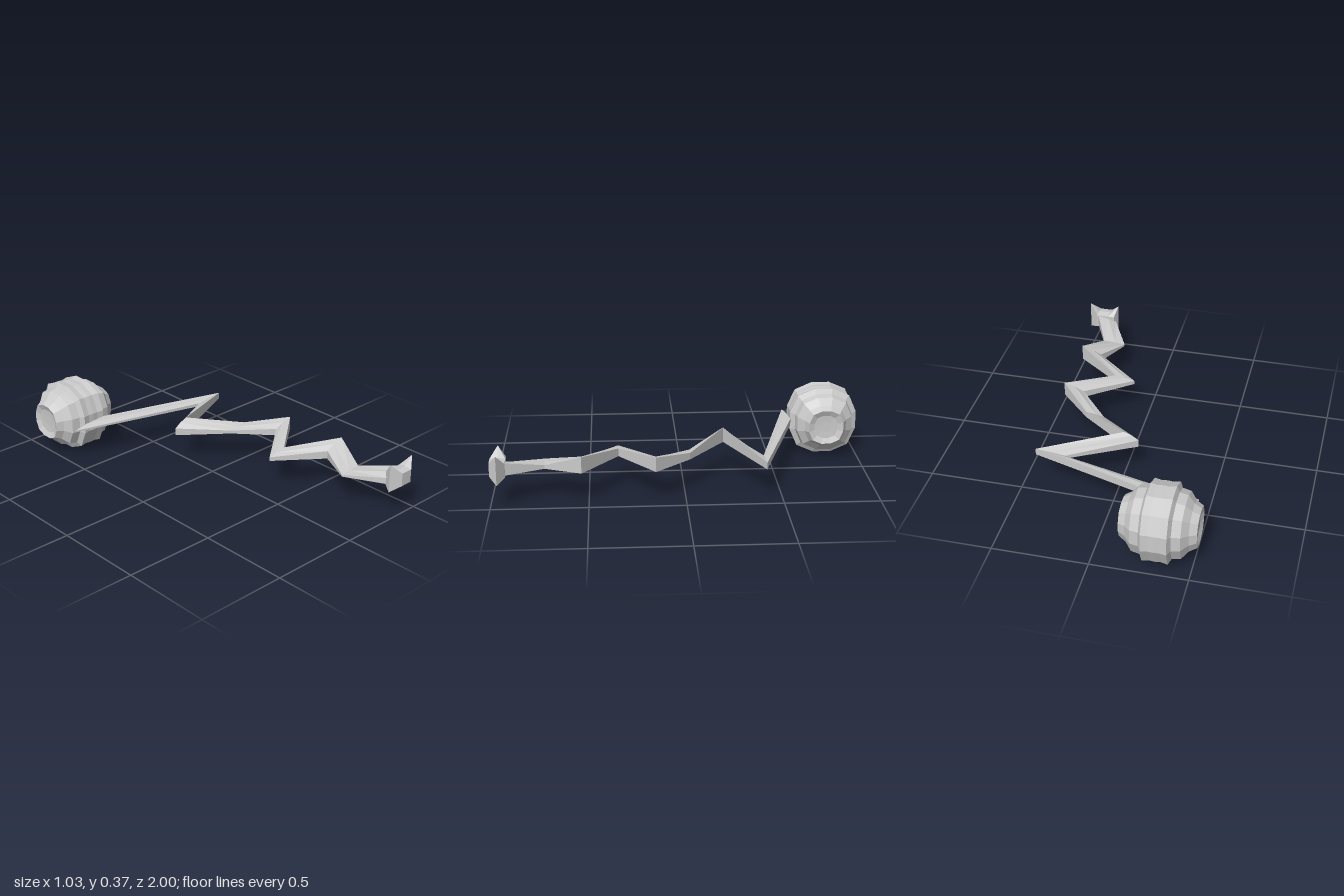
import * as THREE from 'three';

const material = new THREE.MeshStandardMaterial({ color: 0xcccccc, flatShading: true, side: THREE.DoubleSide });

// Skin a closed solid over rings of [x, y, z] points (counter-clockwise seen from +z, ordered back to front)
function loft(name, rings) {
  const pos = [];
  const tri = (a, b, c) => pos.push(...a, ...b, ...c);
  const centre = ring => [0, 1, 2].map(k => ring.reduce((s, p) => s + p[k], 0) / ring.length);
  const n = rings[0].length;
  const first = rings[0], last = rings[rings.length - 1];
  const cBack = centre(first), cFront = centre(last);
  for (let i = 0; i < n; i++) {
    const j = (i + 1) % n;
    for (let r = 0; r < rings.length - 1; r++) {
      const a = rings[r], b = rings[r + 1];
      tri(a[i], a[j], b[j]);
      tri(a[i], b[j], b[i]);
    }
    tri(cBack, first[j], first[i]);
    tri(cFront, last[i], last[j]);
  }
  const g = new THREE.BufferGeometry();
  g.setAttribute('position', new THREE.Float32BufferAttribute(pos, 3));
  g.computeVertexNormals();
  const mesh = new THREE.Mesh(g, material);
  mesh.name = name;
  return mesh;
}

// Ridged ball: twelve-sided rings with slightly squared corners, stacked along x
function makeBall() {
  const half = [[0.18, 0.03], [0.182, 0.065], [0.195, 0.095], [0.158, 0.115], [0.125, 0.152],
    [0.08, 0.16], [0.065, 0.187], [0.03, 0.181]];
  const profile = [...half.map(([d, r]) => [-d, r]), [0, 0.183], ...half.slice().reverse()];
  const rings = profile.map(([d, r]) => Array.from({ length: 12 }, (_, k) => {
    const a = (15 + 30 * k) * Math.PI / 180;
    const s = (k % 3 === 1 ? 1.06 : 1) * r / 0.966;
    return [Math.cos(a) * s, Math.sin(a) * s, d];
  }));
  const ball = loft('ball', rings);
  ball.rotation.y = Math.PI / 2;
  ball.position.set(-0.322, 0.19, -0.815);
  return ball;
}

// Zigzag rod: flat base, upright wall on +x and a sloping top
function makeRod() {
  const base = 0.167;
  const nodes = [ // z, left x, right x, top y
    [-0.415, 0.28, 0.44, 0.203], [-0.225, -0.07, 0.01, 0.25], [-0.03, 0.17, 0.27, 0.203],
    [0.155, 0.335, 0.445, 0.245], [0.345, 0.09, 0.2, 0.21], [0.535, 0.335, 0.445, 0.255],
    [0.725, 0.24, 0.365, 0.187], [0.93, 0.345, 0.455, 0.235]];
  const sections = nodes.map(([z, l, r, t]) => {
    const h = t - base;
    return [[l, base, z], [r, base, z], [r, t, z],
      [l + (r - l) * 0.45, base + h * 0.8, z], [l, base + h * 0.5, z]];
  });
  // Pointed end lying against the ball
  const tip = [[-0.47, 0.18, -0.61], [-0.25, base, -0.63], [-0.25, 0.203, -0.63],
    [-0.38, 0.202, -0.618], [-0.47, 0.189, -0.61]];
  return loft('zigzagRod', [tip, ...sections]);
}

// Flared head: four spiked corners around a small front and back face
function makeHead() {
  const ring = (z, x0, x1, y0, y1, n0, n1) => [
    [x0, y0, z], [0.39, n0, z], [0.455, n0, z], [x1, y0, z],
    [x1, y1, z], [0.455, n1, z], [0.39, n1, z], [x0, y1, z]];
  return loft('flaredHead', [
    ring(0.92, 0.355, 0.46, 0.158, 0.235, 0.16, 0.235),
    ring(0.96, 0.336, 0.508, 0.133, 0.29, 0.162, 0.243),
    ring(1.0, 0.388, 0.457, 0.165, 0.238, 0.165, 0.238)]);
}

export function createModel() {
  const model = new THREE.Group();
  model.name = 'zigzagRodWithBall';
  model.add(makeBall(), makeRod(), makeHead());
  return model;
}
